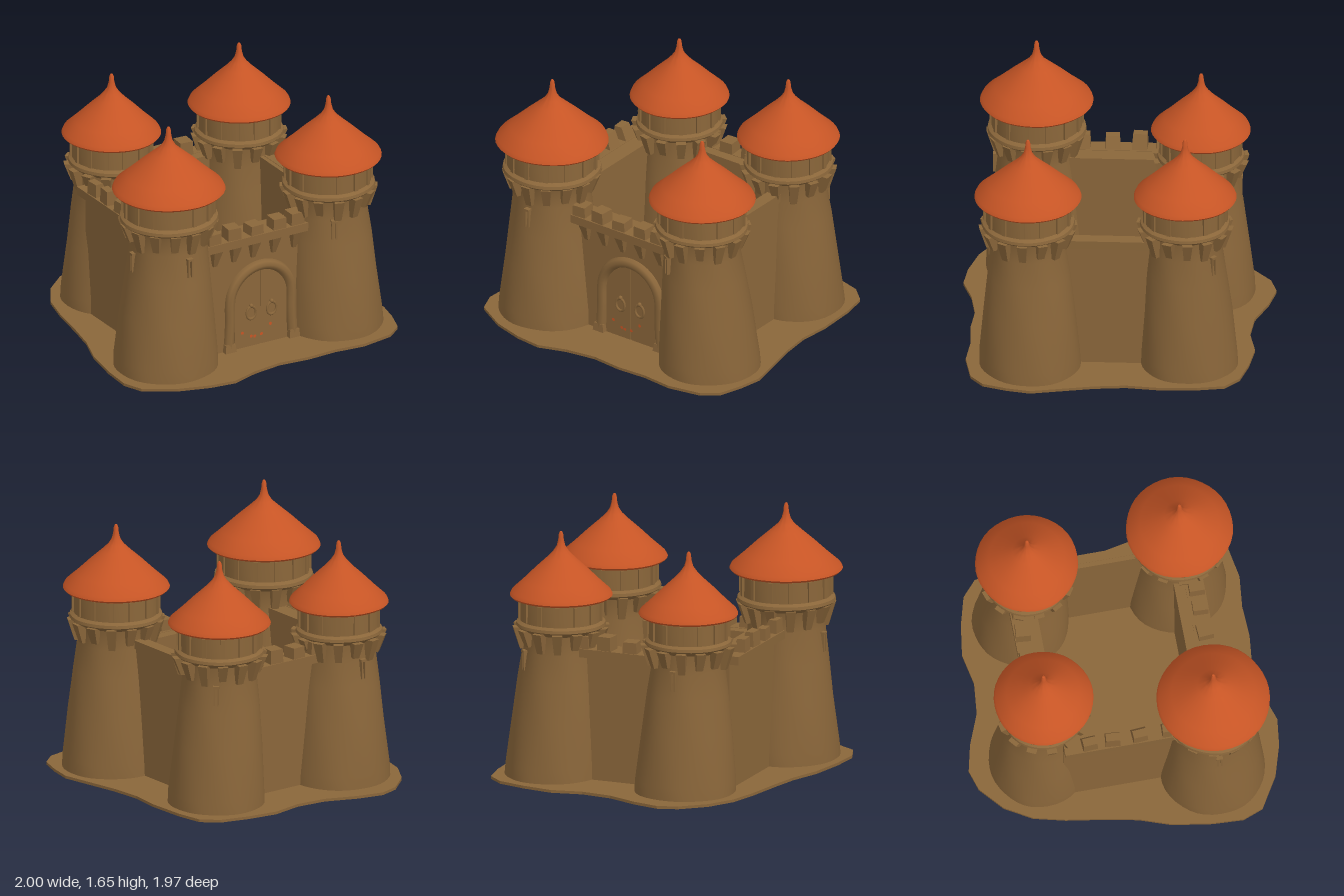
import * as THREE from 'three';
import { toCreasedNormals } from 'three/addons/utils/BufferGeometryUtils.js';

const sand = new THREE.MeshStandardMaterial({ color: 0x8a663a });
sand.name = 'sand';
const tile = new THREE.MeshStandardMaterial({ color: 0xc75525 });
tile.name = 'orange tile';

function add(parent, name, geometry, material, x = 0, y = 0, z = 0) {
  const mesh = new THREE.Mesh(geometry, material);
  mesh.name = name;
  mesh.position.set(x, y, z);
  parent.add(mesh);
  return mesh;
}

// Surface of revolution with slightly hand-modelled unevenness
function turned(profile, seed = 0, rough = 0.012) {
  const geo = new THREE.LatheGeometry(profile.map(([r, y]) => new THREE.Vector2(r, y)), 40);
  const p = geo.attributes.position;
  for (let i = 0; i < p.count; i++) {
    const a = Math.atan2(p.getZ(i), p.getX(i)), y = p.getY(i);
    const k = 1 + rough * Math.sin(3 * a + seed + y * 5) + rough * 0.5 * Math.sin(7 * a + seed * 2 - y * 9);
    p.setXYZ(i, p.getX(i) * k, y, p.getZ(i) * k);
  }
  return toCreasedNormals(geo, 0.6);
}

// Box whose top and bottom can differ in size and whose top can lean in z
function taperedBox(w, h, d, topW = 1, topD = 1, shiftZ = 0) {
  const geo = new THREE.BoxGeometry(w, h, d);
  const p = geo.attributes.position;
  for (let i = 0; i < p.count; i++) {
    if (p.getY(i) > 0) {
      p.setX(i, p.getX(i) * topW);
      p.setZ(i, p.getZ(i) * topD + shiftZ);
    }
  }
  geo.computeVertexNormals();
  return geo;
}

function makeTower({ name, x, z, baseX, baseZ, baseR, roofR, s, seed, slits }) {
  const tower = new THREE.Group();
  tower.name = name;
  tower.position.set(x, 0, z);
  const w = roofR / 0.355;
  const neck = 0.245 * (0.6 + 0.4 * w);

  // Tapering shaft, leaning from its foot towards the roof centre
  const shaft = turned([[baseR, 0], [baseR * 0.99, 0.1], [baseR * 0.6 + neck * 0.4, 0.4],
    [baseR * 0.27 + neck * 0.73, 0.65], [neck, 0.86 * s], [neck, 0.96 * s], [0.27 * w, 1.03 * s]], seed);
  const p = shaft.attributes.position;
  for (let i = 0; i < p.count; i++) {
    const t = Math.max(0, 1 - p.getY(i) / 0.9);
    p.setX(i, p.getX(i) + (baseX - x) * t);
    p.setZ(i, p.getZ(i) + (baseZ - z) * t);
  }
  add(tower, 'shaft', shaft, sand);

  // Projecting drum with a ledge at its foot
  add(tower, 'drum', turned([[neck * 0.98, 0.985 * s], [0.295 * w, 1.01 * s], [0.312 * w, 1.025 * s],
    [0.308 * w, 1.045 * s], [0.285 * w, 1.06 * s], [0.284 * w, 1.22 * s]], seed, 0.008), sand);

  // Brackets beneath the ledge and battens around the drum
  const n = 14;
  for (let i = 0; i < n; i++) {
    const spoke = new THREE.Group();
    spoke.name = 'drumTrim';
    spoke.rotation.y = (i + seed * 0.13) / n * Math.PI * 2;
    const h = (0.13 + 0.02 * Math.sin(i * 2.3 + seed)) * s;
    add(spoke, 'bracket', taperedBox(0.042, h, 0.04, 1.5, 2.1, 0.022), sand, 0, 1.015 * s - h / 2, neck + 0.005);
    add(spoke, 'batten', taperedBox(0.026, 0.13 * s, 0.026), sand, 0, 1.13 * s, 0.284 * w);
    tower.add(spoke);
  }

  // Flared conical roof with a knobbed tip
  add(tower, 'roof', turned([[0, 1.2], [0.25 * w, 1.21], [0.345 * w, 1.213], [0.357 * w, 1.226], [0.345 * w, 1.25],
    [0.265 * w, 1.32], [0.18 * w, 1.4], [0.1 * w, 1.47], [0.05, 1.515], [0.028, 1.55],
    [0.018, 1.59], [0.014, 1.63], [0.008, 1.645], [0, 1.65]].map(([r, y]) => [r, y * s]), seed, 0.006), tile);

  // Narrow arrow slits as shallow raised frames
  for (const angle of slits) {
    const pivot = new THREE.Group();
    pivot.name = 'arrowSlit';
    pivot.rotation.y = angle;
    const r = neck + 0.012;
    for (const side of [-1, 1]) add(pivot, 'slitSide', taperedBox(0.01, 0.12, 0.03), sand, side * 0.012, 0.77, r);
    add(pivot, 'slitHead', taperedBox(0.04, 0.015, 0.035), sand, 0, 0.83, r);
    tower.add(pivot);
  }
  return tower;
}

// Wall along local x with its outer face towards +z
function makeWall({ name, length, thick, top, at, turn, ledge, merlons = [], merlonH = 0.08, brackets = [], slope = 0 }) {
  const wall = new THREE.Group();
  wall.name = name;
  wall.position.set(at[0], 0, at[1]);
  wall.rotation.y = turn;
  add(wall, 'wallBody', taperedBox(length, top, thick, 1, 0.96), sand, 0, top / 2, 0);
  if (ledge) {
    add(wall, 'ledge', taperedBox(length, 0.055, ledge + 0.05), sand, 0, top - 0.025, thick / 2 + ledge / 2 - 0.025);
    for (const x of brackets) {
      add(wall, 'ledgeBracket', taperedBox(0.025, 0.12, 0.02, 2.6, 3.4, 0.02), sand, x, top - 0.11, thick / 2 + 0.008);
    }
  }
  merlons.forEach((x, i) => {
    const h = merlonH * (1 + 0.12 * Math.sin(i * 2.1));
    const block = add(wall, 'merlon', taperedBox(0.095, h, 0.095, 0.92, 1 - slope, slope * 0.04), sand,
      x, top + h / 2 - 0.002, thick / 2 + ledge - 0.055);
    block.rotation.y = 0.08 * Math.sin(i * 3.7 + 1);
  });
  return wall;
}

// Arched double door with surround, ring handles and small orange flecks
function makeGate() {
  const gate = new THREE.Group();
  gate.name = 'gate';
  gate.position.set(0.05, 0, 0.57);
  const spring = 0.335, r = 0.225;
  const curve = new THREE.CurvePath();
  const arc = [new THREE.Vector3(-r - 0.012, 0, 0), new THREE.Vector3(-r, spring * 0.6, 0)];
  for (let i = 0; i <= 10; i++) {
    const a = Math.PI * (1 - i / 10);
    arc.push(new THREE.Vector3(r * Math.cos(a), spring + r * Math.sin(a), 0));
  }
  arc.push(new THREE.Vector3(r, spring * 0.6, 0), new THREE.Vector3(r + 0.012, 0, 0));
  add(gate, 'archSurround', new THREE.TubeGeometry(new THREE.CatmullRomCurve3(arc), 48, 0.035, 8), sand);

  const ri = 0.19;
  for (const side of [-1, 1]) {
    const leaf = new THREE.Shape();
    leaf.moveTo(side * 0.004, 0);
    leaf.lineTo(side * ri, 0);
    leaf.lineTo(side * ri, spring);
    leaf.absarc(0, spring, ri, side > 0 ? 0 : Math.PI, Math.PI / 2 - side * 0.02, side < 0);
    leaf.closePath();
    add(gate, 'doorLeaf', new THREE.ExtrudeGeometry(leaf, { depth: 0.02, bevelEnabled: false }), sand, 0, 0, -0.015);
    const ring = add(gate, 'ringHandle', new THREE.TorusGeometry(0.034, 0.008, 6, 14), sand, side * 0.075, 0.25, 0.014);
    ring.scale.y = 1.25;
    add(gate, 'handleBoss', new THREE.SphereGeometry(0.014, 8, 6), sand, side * 0.075, 0.298, 0.014);
    add(gate, 'archFoot', taperedBox(0.085, 0.07, 0.08, 0.8, 0.8), sand, side * (r + 0.01), 0.035, 0);
  }
  for (const [x, y] of [[-0.135, 0.12], [-0.07, 0.085], [-0.045, 0.08], [0.005, 0.085], [0.07, 0.14]]) {
    add(gate, 'orangeFleck', new THREE.CircleGeometry(0.012, 5), tile, x, y, 0.007);
  }
  return gate;
}

function makeGround() {
  const outline = [[-0.37, -0.99], [-0.2, -0.95], [0, -0.87], [0.2, -0.85], [0.4, -0.89], [0.6, -0.86], [0.78, -0.81],
    [0.88, -0.72], [0.91, -0.55], [0.92, -0.3], [0.9, -0.1], [0.92, 0.1], [0.96, 0.3], [1, 0.5], [0.97, 0.65],
    [0.92, 0.8], [0.82, 0.88], [0.6, 0.92], [0.4, 0.9], [0.2, 0.91], [0, 0.89], [-0.2, 0.92], [-0.38, 0.98],
    [-0.55, 0.96], [-0.75, 0.9], [-0.95, 0.78], [-1, 0.65], [-0.99, 0.45], [-0.95, 0.2], [-0.88, 0],
    [-0.84, -0.2], [-0.8, -0.45], [-0.75, -0.65], [-0.65, -0.82], [-0.5, -0.95]];
  const shape = new THREE.Shape(outline.map(([x, z]) => new THREE.Vector2(x, -z)));
  const geo = new THREE.ExtrudeGeometry(shape, { depth: 0.018, bevelEnabled: false });
  return geo.rotateX(-Math.PI / 2);
}

export function createModel() {
  const castle = new THREE.Group();
  castle.name = 'castle';
  add(castle, 'ground', makeGround(), sand);

  // Four corner towers
  const towers = [
    { name: 'frontRightTower', x: -0.6, z: 0.53, baseX: -0.615, baseZ: 0.52, baseR: 0.33, roofR: 0.355, s: 1, seed: 1, slits: [0, -1.6] },
    { name: 'frontLeftTower', x: 0.575, z: 0.53, baseX: 0.62, baseZ: 0.51, baseR: 0.32, roofR: 0.335, s: 0.963, seed: 2.4, slits: [-0.4] },
    { name: 'backRightTower', x: -0.385, z: -0.515, baseX: -0.37, baseZ: -0.54, baseR: 0.32, roofR: 0.312, s: 0.945, seed: 4, slits: [Math.PI] },
    { name: 'backLeftTower', x: 0.515, z: -0.455, baseX: 0.56, baseZ: -0.485, baseR: 0.305, roofR: 0.322, s: 0.96, seed: 5.5, slits: [2.4] },
  ];
  for (const t of towers) castle.add(makeTower(t));

  // Curtain walls; the one on the model's left is plain
  castle.add(makeWall({ name: 'frontWall', length: 0.86, thick: 0.12, top: 0.8, at: [0, 0.51], turn: 0, ledge: 0.07,
    merlons: [-0.32, -0.17, -0.01, 0.16, 0.29], brackets: [-0.29, -0.15, -0.01, 0.14, 0.29], merlonH: 0.075 }));
  castle.add(makeWall({ name: 'backWall', length: 0.7, thick: 0.12, top: 0.87, at: [0.08, -0.49], turn: Math.PI, ledge: 0.05,
    merlons: [-0.24, -0.08, 0.09, 0.24], merlonH: 0.085 }));
  castle.add(makeWall({ name: 'rightWall', length: 0.86, thick: 0.16, top: 0.88, at: [-0.55, 0], turn: -Math.PI / 2, ledge: 0.06,
    merlons: [-0.27, -0.12, 0.05, 0.24], merlonH: 0.09, slope: 0.45 }));
  castle.add(makeWall({ name: 'leftWall', length: 0.8, thick: 0.08, top: 0.885, at: [0.565, 0.02], turn: Math.PI / 2, ledge: 0.008 }));

  castle.add(makeGate());
  return castle;
}
